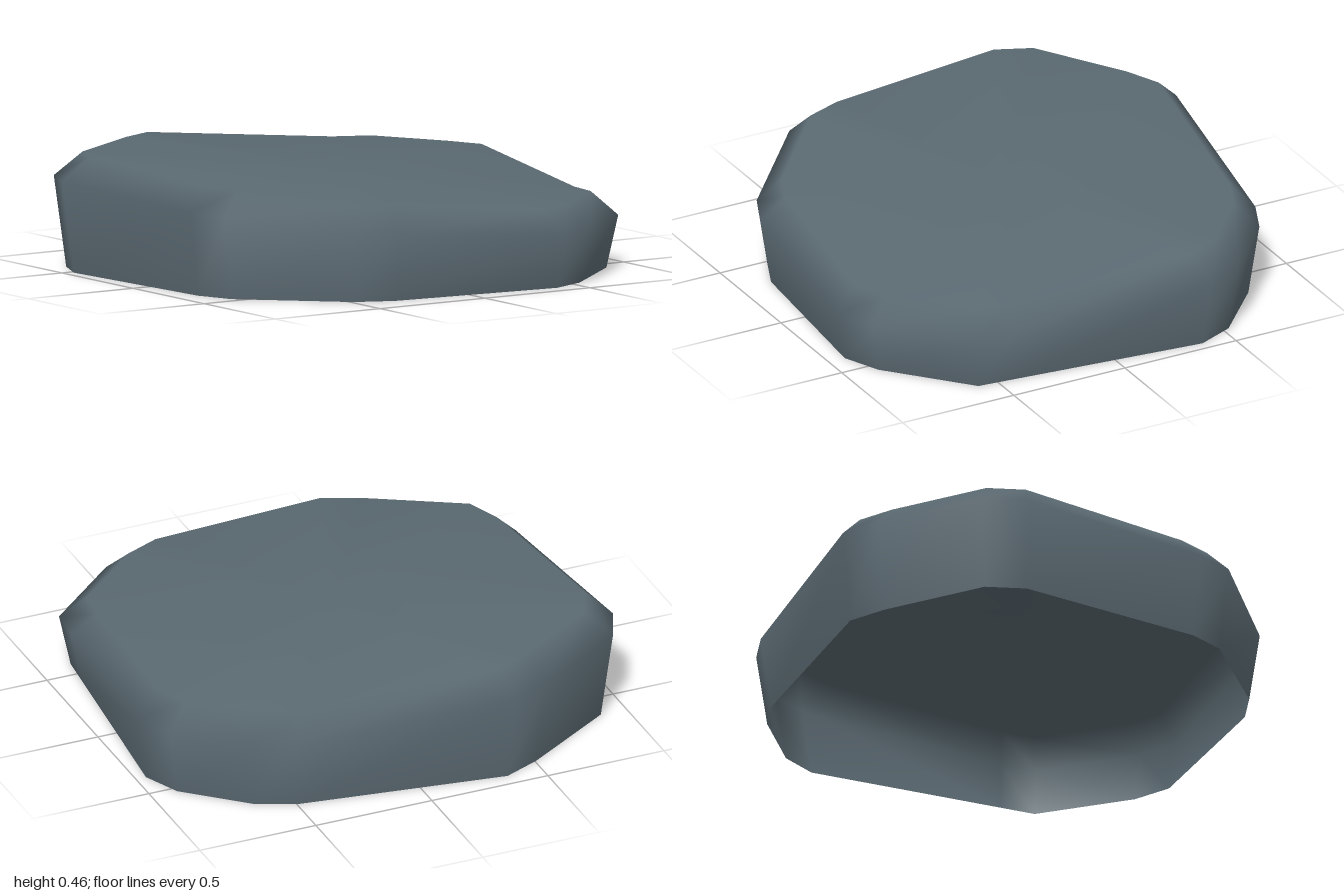
import * as THREE from 'three';

// Widest outline of the slab: eight corners, each cut into a pair of points
// [x, z, x, z, height of the top edge at that corner]
const corners = [
  [-0.53, -0.91, -0.37, -0.98, 0.46],
  [0.52, -0.85, 0.68, -0.78, 0.39],
  [0.93, -0.55, 1.0, -0.39, 0.375],
  [0.915, 0.46, 0.9, 0.61, 0.305],
  [0.57, 0.9, 0.41, 0.97, 0.305],
  [-0.35, 0.9, -0.51, 0.83, 0.37],
  [-0.88, 0.48, -0.94, 0.32, 0.43],
  [-1.0, -0.5, -0.93, -0.66, 0.46],
];

function stoneGeometry() {
  const outline = corners.flatMap(([x1, z1, x2, z2, y]) => [[x1, z1, y], [x2, z2, y]]);
  const n = outline.length;

  // Cross-sections: tapered foot, widest line, bevelled top edge
  const rings = [
    { scale: 0.957, height: () => 0 },
    { scale: 1, height: (y) => y - 0.095 },
    { scale: 0.9, height: (y) => y },
  ];
  const positions = [];
  for (const { scale, height } of rings) {
    for (const [x, z, y] of outline) positions.push(x * scale, height(y), z * scale);
  }
  const centre = positions.length / 3;
  positions.push(0, 0.39, 0);

  // Walls and bevel, then the sloping top; the underside stays open
  const index = [];
  for (let i = 0; i < n; i++) {
    const j = (i + 1) % n;
    for (let r = 0; r < rings.length - 1; r++) {
      const a = r * n, b = a + n;
      index.push(a + j, a + i, b + i, a + j, b + i, b + j);
    }
    const top = (rings.length - 1) * n;
    index.push(centre, top + j, top + i);
  }

  const geometry = new THREE.BufferGeometry();
  geometry.setAttribute('position', new THREE.Float32BufferAttribute(positions, 3));
  geometry.setIndex(index);
  geometry.computeVertexNormals();
  return geometry;
}

export function createModel() {
  const slate = new THREE.MeshStandardMaterial({ color: 0x5a6971, side: THREE.DoubleSide });
  slate.name = 'slate';

  const stone = new THREE.Mesh(stoneGeometry(), slate);
  stone.name = 'flatStone';

  const model = new THREE.Group();
  model.name = 'steppingStone';
  model.add(stone);
  return model;
}
